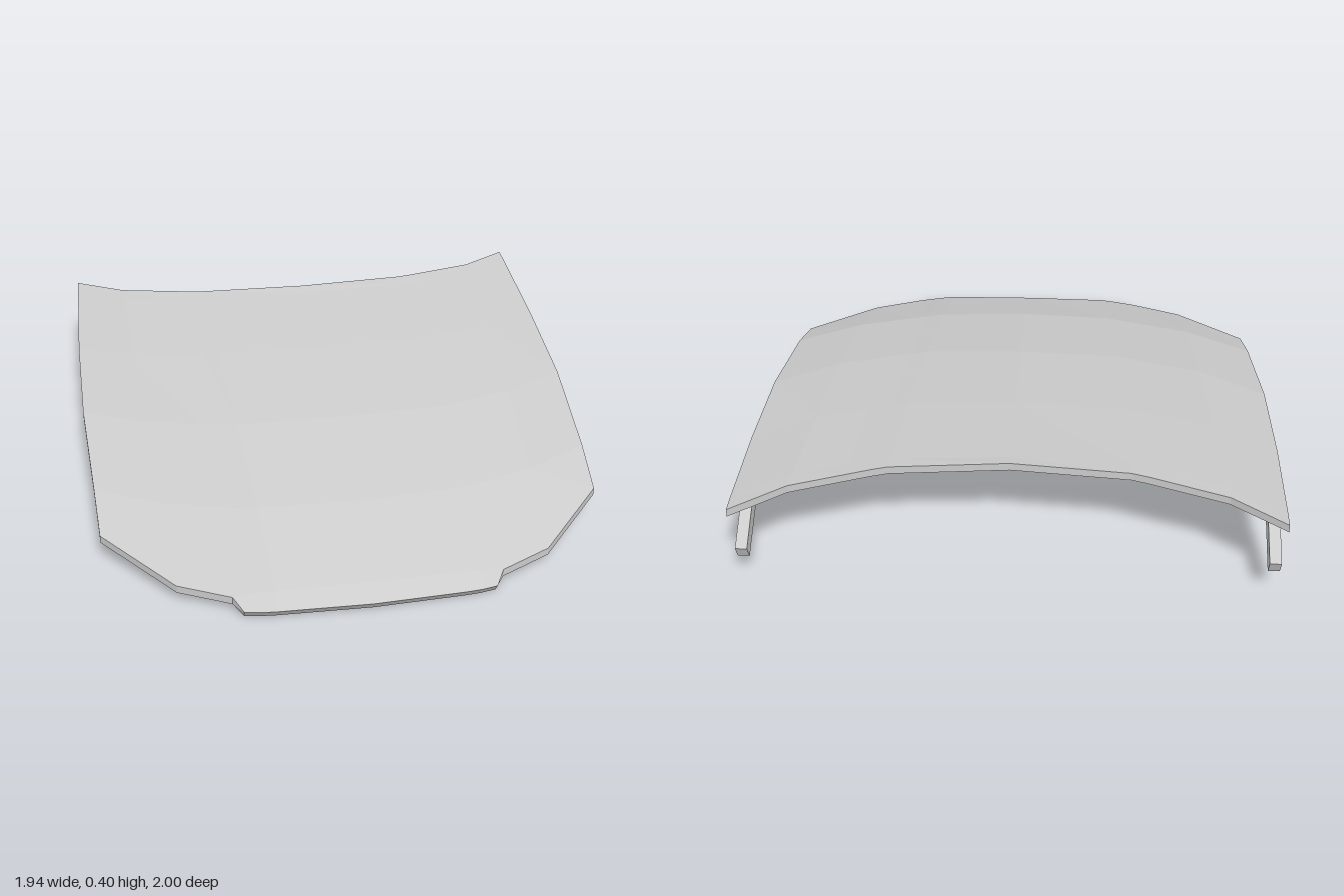
import * as THREE from 'three';

const lerp = THREE.MathUtils.lerp;
const material = new THREE.MeshStandardMaterial({ color: 0xcccccc, flatShading: true, side: THREE.DoubleSide });

// Rows run rear to front; z and y are given at centre, two crease lines, shoulder and side edge.
const ROWS = [
  { z: [-0.74, -0.77, -0.785, -0.87, -0.995], y: [0.397, 0.39, 0.387, 0.373, 0.36], edge: 0.96 },
  { z: [-0.69, -0.715, -0.725, -0.8, -0.91], y: [0.388, 0.384, 0.38, 0.367, 0.35], edge: 0.963 },
  { z: [-0.29, -0.305, -0.315, -0.385, -0.5], y: [0.344, 0.341, 0.336, 0.325, 0.305], edge: 0.972 },
  { z: [0.16, 0.145, 0.135, 0.06, -0.07], y: [0.285, 0.283, 0.279, 0.273, 0.262], edge: 0.968 },
  { z: [0.6, 0.58, 0.57, 0.49, 0.36], y: [0.196, 0.195, 0.191, 0.19, 0.186], edge: 0.945 },
  { z: [0.93, 0.925, 0.92, 0.83, 0.56], y: [0.08, 0.079, 0.074, 0.07, 0.12], edge: 0.935 },
];

// Half section: centre, crease inner, crease outer, lip corner, shoulder, edge
function halfSection(row, i) {
  const t = (row.z[0] + 0.74) / 1.67;
  const xs = [0, lerp(0.43, 0.34, t), lerp(0.49, 0.4, t), lerp(0.77, 0.68, t), row.edge];
  const pts = xs.map((x, k) => new THREE.Vector3(x, row.y[k], row.z[k]));
  const corner = i === ROWS.length - 1
    ? new THREE.Vector3(0.49, 0.062, 0.915)
    : pts[2].clone().lerp(pts[3], 0.3);
  pts.splice(3, 0, corner);
  return pts;
}

function mirrorSection(half) {
  const left = half.slice(1).reverse().map(p => new THREE.Vector3(-p.x, p.y, p.z));
  return [...left, ...half];
}

function panelGeometry() {
  const top = ROWS.map((row, i) => mirrorSection(halfSection(row, i)));
  // Front lip, narrower than the panel
  const lip = [[0, 0.037, 1], [0.34, 0.036, 0.987], [0.4, 0.036, 0.982], [0.455, 0.035, 0.97]]
    .map(p => new THREE.Vector3(...p));
  top.push(mirrorSection([...lip, lip[3], lip[3]]));

  const last = top.length - 1;
  const bottom = top.map((sec, r) => sec.map(p => r === last
    ? new THREE.Vector3(p.x, p.y - 0.036, p.z - 0.025)
    : new THREE.Vector3(p.x, p.y - 0.03, p.z)));
  const filled = (r, c) => r >= 0 && r < last && c >= 0 && c < 10 && (r < last - 1 || (c >= 2 && c < 8));

  const pos = [];
  const quad = (a, b, c, d) => [a, b, c, a, c, d].forEach(p => pos.push(p.x, p.y, p.z));
  for (let r = 0; r < last; r++) {
    for (let c = 0; c < 10; c++) {
      if (!filled(r, c)) continue;
      const k = [[r, c], [r + 1, c], [r + 1, c + 1], [r, c + 1]];
      const T = k.map(([i, j]) => top[i][j]);
      const B = k.map(([i, j]) => bottom[i][j]);
      quad(T[0], T[1], T[2], T[3]);
      quad(B[3], B[2], B[1], B[0]);
      // Rim wall wherever the panel ends
      [[r, c - 1], [r + 1, c], [r, c + 1], [r - 1, c]].forEach(([i, j], e) => {
        if (filled(i, j)) return;
        const f = (e + 1) % 4;
        quad(B[e], B[f], T[f], T[e]);
      });
    }
  }
  const geo = new THREE.BufferGeometry();
  geo.setAttribute('position', new THREE.Float32BufferAttribute(pos, 3));
  geo.computeVertexNormals();
  return geo;
}

// Bent hinge arm: side outline in (z, y), extruded across x
function hingeGeometry() {
  const outline = [[-0.715, 0.3], [-0.79, 0.203], [-0.945, 0.112], [-0.97, 0.165], [-0.81, 0.262], [-0.775, 0.31], [-0.72, 0.315]];
  const shape = new THREE.Shape(outline.map(([z, y]) => new THREE.Vector2(-z, y)));
  const geo = new THREE.ExtrudeGeometry(shape, { depth: 0.042, bevelEnabled: false });
  geo.translate(0, 0, -0.021);
  geo.rotateY(Math.PI / 2);
  return geo;
}

export function createModel() {
  const model = new THREE.Group();
  model.name = 'bonnet';

  const panel = new THREE.Mesh(panelGeometry(), material);
  panel.name = 'bonnetPanel';
  model.add(panel);

  const hinge = hingeGeometry();
  for (const [name, side] of [['leftHinge', 1], ['rightHinge', -1]]) {
    const mesh = new THREE.Mesh(hinge, material);
    mesh.name = name;
    mesh.position.x = side * 0.934;
    model.add(mesh);
  }
  return model;
}
